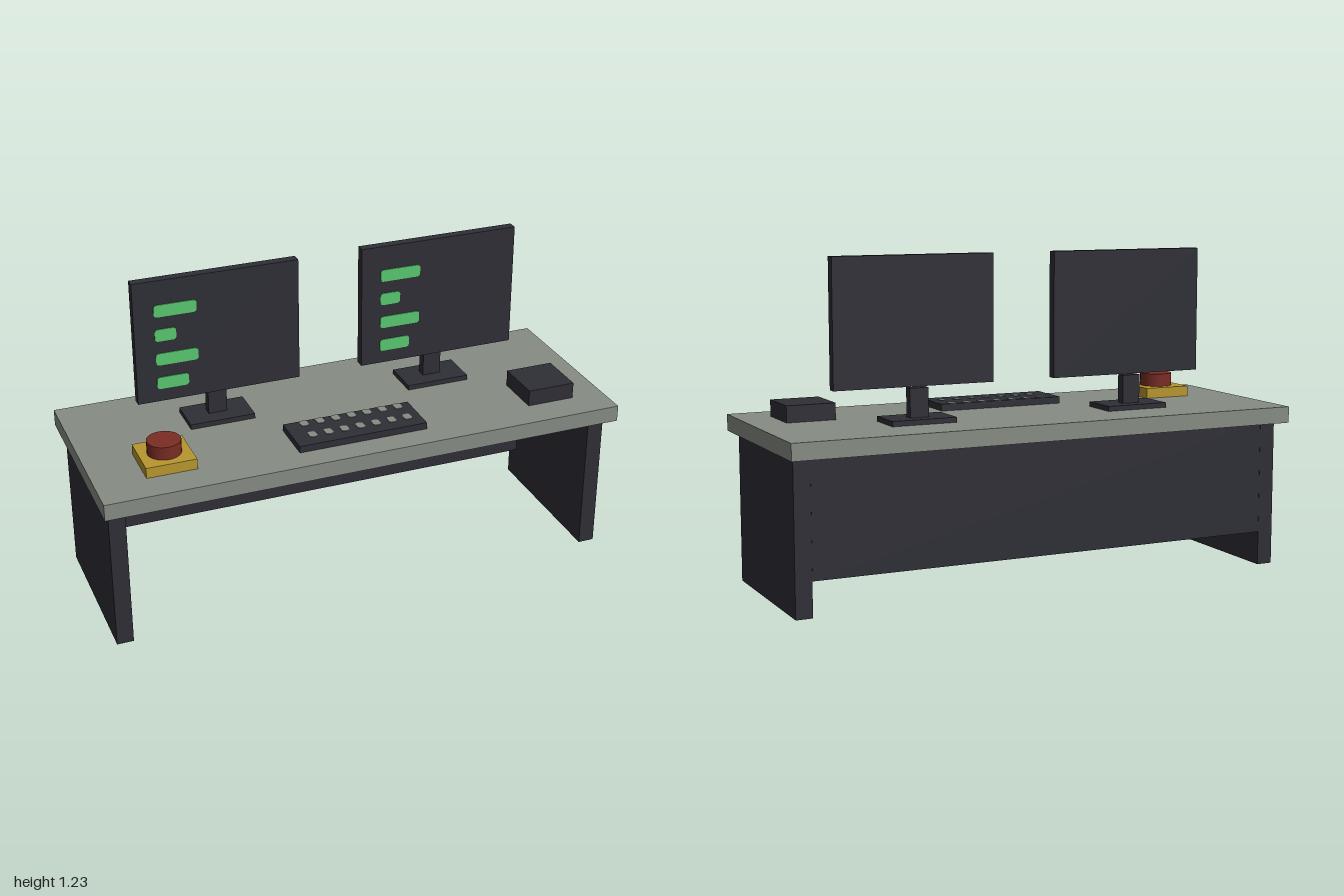
import * as THREE from 'three';

const mat = (name, color) => {
  const m = new THREE.MeshStandardMaterial({ color });
  m.name = name;
  return m;
};

export function createModel() {
  const dark = mat('charcoal', 0x2e2e36);
  const grey = mat('desk grey', 0x868c84);
  const yellow = mat('warning yellow', 0xb8962e);
  const red = mat('button red', 0x7a2c24);
  const green = mat('screen green', 0x57c86e);

  const root = new THREE.Group();
  root.name = 'controlDesk';

  const add = (parent, name, geometry, material, x, y, z) => {
    const mesh = new THREE.Mesh(geometry, material);
    mesh.name = name;
    mesh.position.set(x, y, z);
    parent.add(mesh);
    return mesh;
  };
  // Box given by its size, with y as the height of its underside
  const box = (parent, name, material, w, h, d, x, y, z) =>
    add(parent, name, new THREE.BoxGeometry(w, h, d), material, x, y + h / 2, z);

  // Flat bar with rounded corners, starting at x = 0
  const barGeometry = (w, h, r) => {
    const s = new THREE.Shape();
    s.moveTo(r, -h / 2);
    s.lineTo(w - r, -h / 2);
    s.absarc(w - r, -h / 2 + r, r, -Math.PI / 2, 0);
    s.absarc(w - r, h / 2 - r, r, 0, Math.PI / 2);
    s.absarc(r, h / 2 - r, r, Math.PI / 2, Math.PI);
    s.absarc(r, -h / 2 + r, r, Math.PI, Math.PI * 1.5);
    return new THREE.ExtrudeGeometry(s, { depth: 0.003, bevelEnabled: false, curveSegments: 4 });
  };

  // Desk
  const top = 0.625;
  box(root, 'desktop', grey, 2, 0.0625, 0.75, 0, 0.5625, 0);
  for (const [side, name] of [[1, 'leftLeg'], [-1, 'rightLeg']]) {
    box(root, name, dark, 0.0625, 0.5625, 0.625, side * 0.944, 0, 0);
  }
  box(root, 'backPanel', dark, 1.825, 0.4325, 0.0625, 0, 0.13, -0.281);

  // Two monitors with lines of text shown as bars
  for (const [x, name] of [[0.4375, 'leftMonitor'], [-0.4375, 'rightMonitor']]) {
    const monitor = new THREE.Group();
    monitor.name = name;
    monitor.position.x = x;
    root.add(monitor);
    box(monitor, 'base', dark, 0.25, 0.019, 0.15, 0, top, -0.1125);
    box(monitor, 'neck', dark, 0.072, 0.108, 0.037, 0, 0.644, -0.119);
    box(monitor, 'screen', dark, 0.625, 0.4745, 0.037, 0, 0.752, -0.081);
    [0.16, 0.08, 0.16, 0.12].forEach((w, i) =>
      add(monitor, 'screenLine', barGeometry(w, 0.047, 0.012), green, -0.2375, 1.11 - i * 0.095, -0.0625));
  }

  // Keyboard with two rows of keys
  const keyboard = new THREE.Group();
  keyboard.name = 'keyboard';
  root.add(keyboard);
  box(keyboard, 'keyboardBody', dark, 0.5, 0.026, 0.18, 0, top, 0.185);
  const keyGeometry = barGeometry(0.03, 0.04, 0.01).rotateX(-Math.PI / 2).translate(-0.015, 0, 0);
  for (const z of [0.116, 0.206]) {
    for (let i = 0; i < 7; i++) {
      add(keyboard, 'key', keyGeometry, grey, -0.175 + i * 0.0625, top + 0.025, z);
    }
  }

  // Emergency stop button
  const stop = new THREE.Group();
  stop.name = 'stopButton';
  stop.position.set(-0.72, top, 0.156);
  root.add(stop);
  box(stop, 'buttonBase', yellow, 0.1875, 0.04, 0.1875, 0, 0, 0);
  add(stop, 'buttonCap', new THREE.CylinderGeometry(0.0625, 0.0625, 0.05, 24), red, 0, 0.065, 0);

  // Small equipment box
  box(root, 'deviceBox', dark, 0.1875, 0.0625, 0.1875, 0.778, top, 0.156);

  return root;
}
